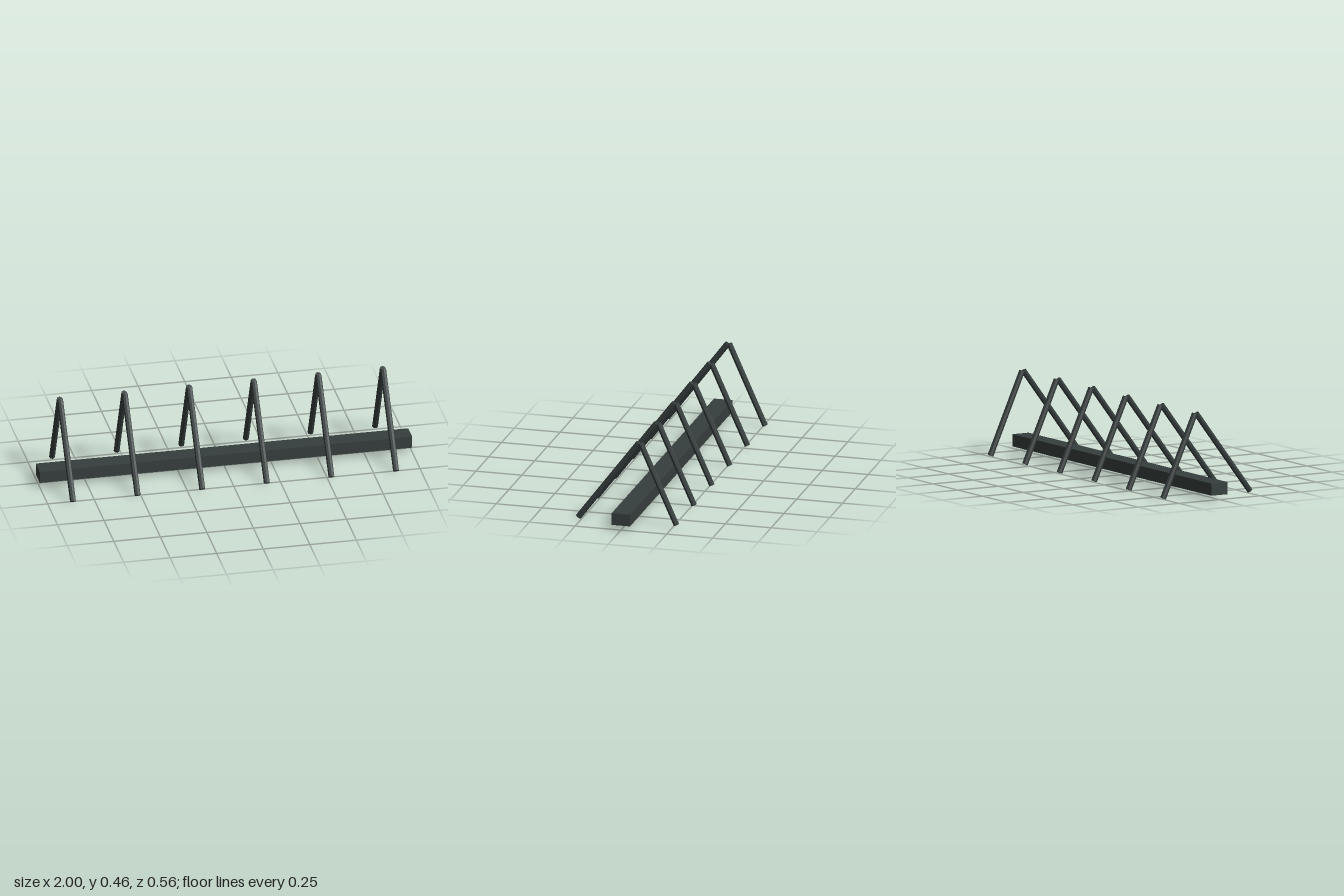
import * as THREE from 'three';

const material = new THREE.MeshStandardMaterial({ color: 0x363f3e, flatShading: true });
const UP = new THREE.Vector3(0, 1, 0);

// Straight eight-sided rod between two points in the z-y plane
function rod(name, [z0, y0], [z1, y1]) {
  const a = new THREE.Vector3(0, y0, z0);
  const b = new THREE.Vector3(0, y1, z1);
  const dir = b.clone().sub(a);
  const mesh = new THREE.Mesh(new THREE.CylinderGeometry(0.016, 0.016, dir.length(), 8), material);
  mesh.name = name;
  mesh.position.copy(a).add(b).multiplyScalar(0.5);
  mesh.quaternion.setFromUnitVectors(UP, dir.normalize());
  return mesh;
}

export function createModel() {
  const model = new THREE.Group();
  model.name = 'spikeBarrier';

  // Long horizontal beam
  const beam = new THREE.Mesh(new THREE.BoxGeometry(2, 0.065, 0.1), material);
  beam.name = 'beam';
  beam.position.y = 0.0575;
  model.add(beam);

  // Six evenly spaced A-shaped frames straddling the beam
  const count = 6, spacing = 0.347;
  for (let i = 0; i < count; i++) {
    const frame = new THREE.Group();
    frame.name = `frame${i + 1}`;
    frame.position.x = (i - (count - 1) / 2) * spacing;
    frame.add(
      rod('frontLeg', [0.268, 0.01], [-0.062, 0.446]),
      rod('backLeg', [-0.266, 0.011], [-0.071, 0.446])
    );
    model.add(frame);
  }
  return model;
}
